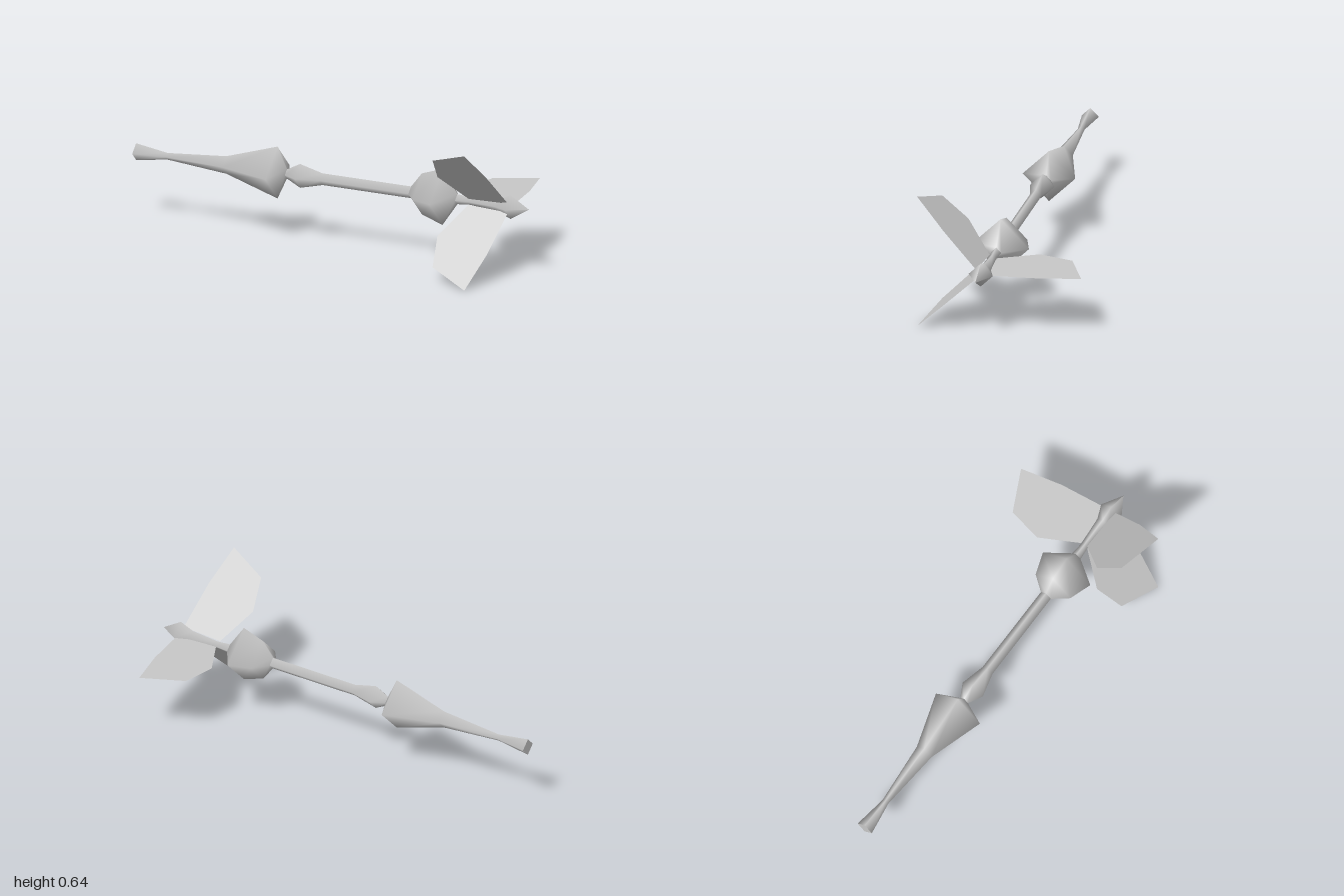
import * as THREE from 'three';

export function createModel() {
  const model = new THREE.Group();
  model.name = 'dart';
  model.position.set(0, 0.324, 0.066);
  const grey = new THREE.MeshStandardMaterial({ color: 0xc8c8c8, side: THREE.DoubleSide });
  grey.name = 'grey';

  // Four-sided turned part along x, from [x, radius] pairs
  function turned(name, profile) {
    const points = profile.map(([x, r]) => new THREE.Vector2(r, x));
    const mesh = new THREE.Mesh(new THREE.LatheGeometry(points, 4), grey);
    mesh.name = name;
    mesh.rotation.z = -Math.PI / 2;
    model.add(mesh);
  }

  turned('head', [[-1, 0.04], [-0.84, 0.016], [-0.54, 0.042], [-0.28, 0.124], [-0.232, 0.022]]);
  turned('shaft', [[-0.232, 0.022], [-0.165, 0.057], [-0.05, 0.028], [0.4, 0.028]]);
  turned('weight', [[0.4, 0.028], [0.455, 0.098], [0.56, 0.134], [0.636, 0.024]]);
  turned('tail', [[0.636, 0.024], [0.7, 0.018], [0.84, 0.03], [0.906, 0.057], [1, 0]]);

  // Flat square closing the front end
  const cap = new THREE.Mesh(new THREE.CircleGeometry(0.04, 4), grey);
  cap.name = 'headCap';
  cap.rotation.y = -Math.PI / 2;
  cap.position.x = -1;
  model.add(cap);

  // Three flat fins: two slanting forwards, one straight back
  const outline = [[0.7, 0.02], [0.604, 0.198], [0.636, 0.36], [0.83, 0.454], [0.876, 0.259], [0.904, 0.03]];
  const finShape = new THREE.Shape(outline.map(([x, r]) => new THREE.Vector2(x, r)));
  const finGeometry = new THREE.ShapeGeometry(finShape);
  const fins = { upperFin: 45, lowerFin: 135, backFin: -90 };
  for (const [name, degrees] of Object.entries(fins)) {
    const fin = new THREE.Mesh(finGeometry, grey);
    fin.name = name;
    fin.rotation.x = THREE.MathUtils.degToRad(degrees);
    model.add(fin);
  }

  const root = new THREE.Group();
  root.name = 'model';
  root.add(model);
  return root;
}
